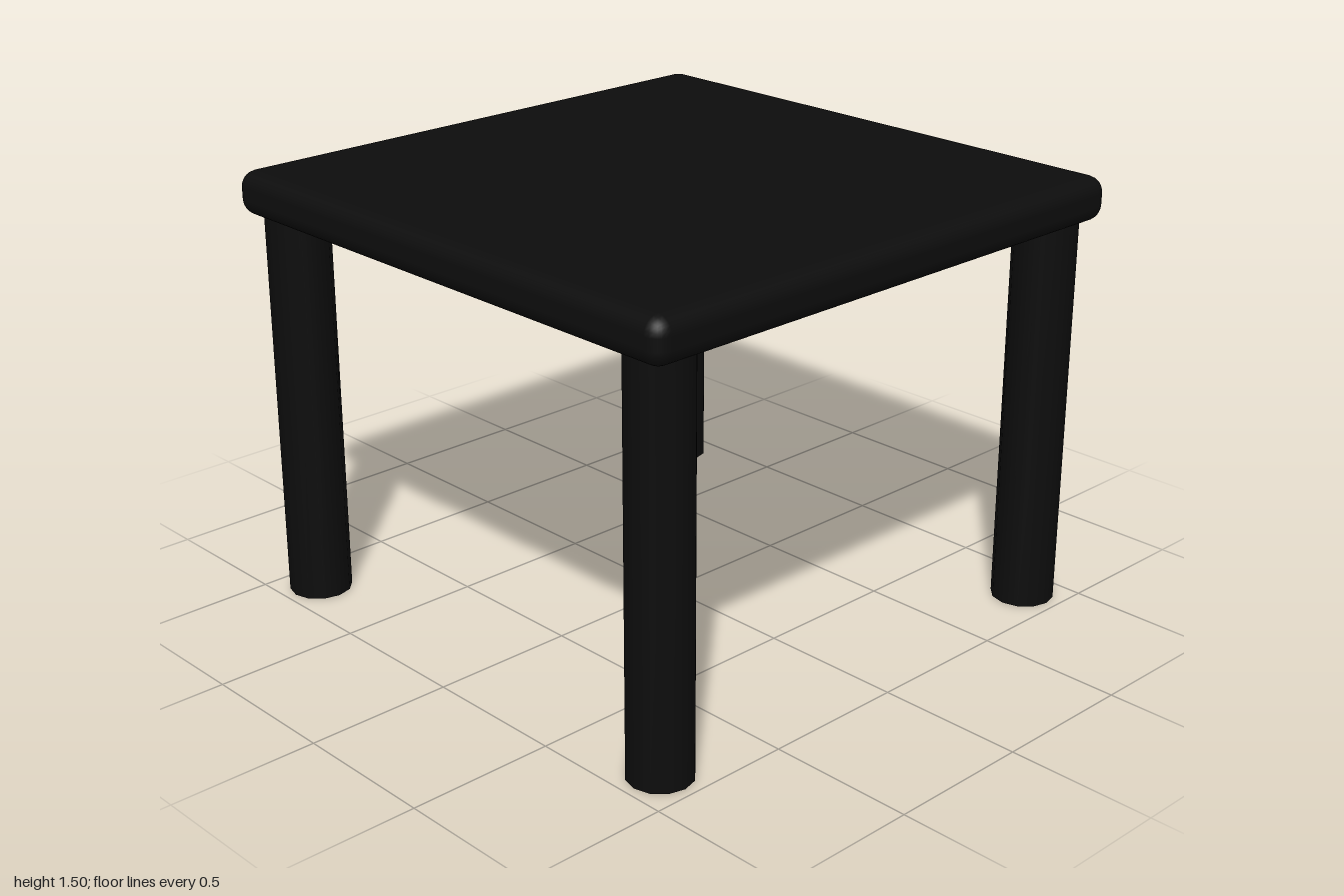
import * as THREE from 'three';
import { RoundedBoxGeometry } from 'three/addons/geometries/RoundedBoxGeometry.js';

export function createModel() {
  const table = new THREE.Group();
  table.name = 'table';
  const black = new THREE.MeshStandardMaterial({ color: 0x0d0d0d });

  // Square slab with rounded edges and corners
  const top = new THREE.Mesh(new RoundedBoxGeometry(2, 0.15, 2, 3, 0.055), black);
  top.name = 'tableTop';
  top.position.y = 1.425;
  table.add(top);

  // Four round legs, sunk a little into the slab
  const legHeight = 1.4;
  const legGeometry = new THREE.CylinderGeometry(0.107, 0.107, legHeight, 12);
  for (const x of [-1, 1]) {
    for (const z of [-1, 1]) {
      const leg = new THREE.Mesh(legGeometry, black);
      leg.name = (z > 0 ? 'front' : 'back') + (x > 0 ? 'Left' : 'Right') + 'Leg';
      leg.position.set(x * 0.861, legHeight / 2, z * 0.861);
      table.add(leg);
    }
  }
  return table;
}
